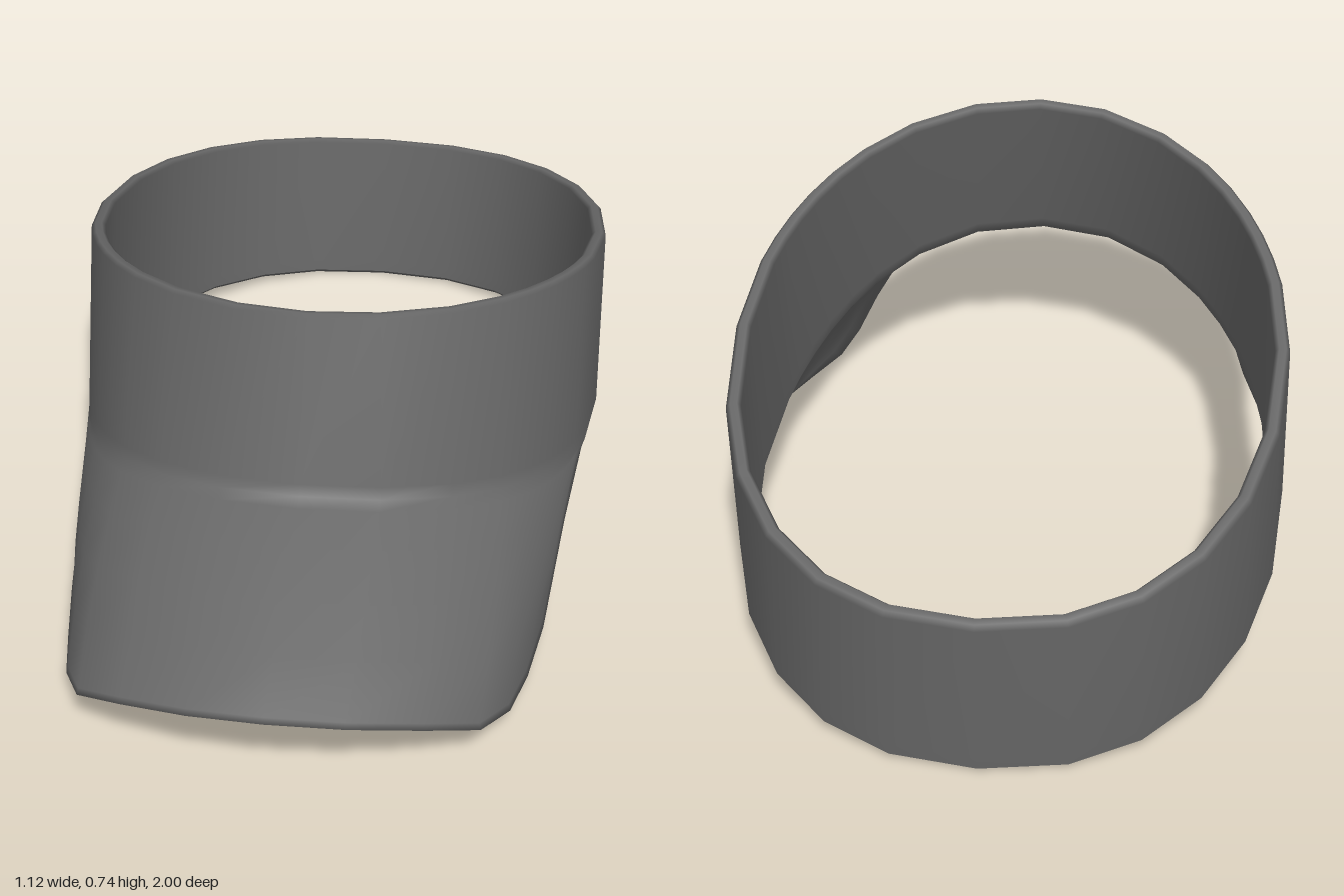
import * as THREE from 'three';

const V = (x, y, z) => new THREE.Vector3(x, y, z);
const rad = THREE.MathUtils.degToRad;
const THICK = 0.03;
const BEVEL = 0.008;

// Skin a closed row of closed cross-sections with smooth normals
function loft(sections) {
  const n = sections[0].length, m = sections.length;
  const index = [];
  for (let i = 0; i < m; i++) {
    for (let j = 0; j < n; j++) {
      const k = (i + 1) % m, l = (j + 1) % n;
      const a = i * n + j, b = k * n + j, c = k * n + l, d = i * n + l;
      index.push(a, b, c, a, c, d);
    }
  }
  const geometry = new THREE.BufferGeometry().setFromPoints(sections.flat());
  geometry.setIndex(index);
  geometry.computeVertexNormals();
  return geometry;
}

// Oval outline, a little squarer behind than in front
function oval(deg, halfWidth, halfLength, centre, frontPower) {
  const s = Math.sin(rad(deg)), c = Math.cos(rad(deg));
  const power = c > 0 ? frontPower : 0.88;
  const round = (v) => Math.sign(v) * Math.abs(v) ** power;
  return { x: halfWidth * round(s), z: centre + halfLength * round(c) };
}

// Upper rim: an oval on a plane that falls towards the back
function topRing(deg, inset = 0, drop = 0) {
  const { x, z } = oval(deg, 0.556 - inset, 0.71 - inset, -0.29, 1);
  return V(x, 0.36 + (z + 1) * 0.268 - drop, z);
}

// Lower rim: a longer oval, rising in a curve at the front
function bottomRing(deg, inset = 0, lift = 0) {
  const { x, z } = oval(deg, 0.56 - inset, 0.75 - inset, -0.22, 0.93);
  const y = z > 0 ? 0.2 + 0.26 * z + 0.18 * z * z : 0.2 + 0.206 * z;
  return V(x, y + lift, z);
}

// Half outline of the brim: root angle on the band, then the edge x, y, z
const BRIM = [
  [0, 0, 0.203, 0.995],
  [15, 0.15, 0.187, 0.972],
  [30, 0.288, 0.148, 0.912],
  [42, 0.388, 0.095, 0.837],
  [50, 0.437, 0.047, 0.72],
  [57, 0.463, 0.026, 0.59],
  [63, 0.485, 0.04, 0.45],
  [69, 0.51, 0.13, 0.2],
  [75, 0.534, 0.192, 0.01],
];

// Free lower edge: the brim's outline in front
function brimEdge([deg, x, y, z]) {
  const s = Math.sin(rad(deg));
  return {
    deg,
    lift: 0,
    upper: V(x, y + 0.023, z),
    nose: V(x + s * 0.004, y + 0.01, z + 0.005),
    under: V(x * 0.975, y, z - 0.01),
  };
}

// Free lower edge: the softened bottom of the band behind
function bandEdge(deg) {
  return {
    deg,
    lift: BEVEL,
    upper: bottomRing(deg, BEVEL),
    nose: bottomRing(deg, THICK / 2),
    under: bottomRing(deg, THICK - BEVEL),
  };
}

// Slice of the shell: edge, brim top, band outside, rim, band inside, brim underside
function shellSection({ deg, lift, upper, nose, under }) {
  const s = Math.sin(rad(deg));
  const rootTop = bottomRing(deg, 0, lift);
  const rootUnder = bottomRing(deg, THICK, lift);
  const outerTop = topRing(deg, 0, BEVEL);
  const innerTop = topRing(deg, THICK, BEVEL);
  const bulge = upper.distanceTo(rootTop);
  const along = (from, to, t) => {
    const h = bulge * t * (1 - t);
    return from.clone().lerp(to, t).add(V(s * h * 0.1, h * 0.04, 0));
  };
  // Rows close to the fold keep it crisp
  return [
    nose,
    ...[0, 0.25, 0.5, 0.75, 0.94, 1].map((t) => along(upper, rootTop, t)),
    rootTop.clone().lerp(outerTop, 0.07),
    outerTop,
    topRing(deg, BEVEL),
    topRing(deg, THICK - BEVEL),
    innerTop,
    rootUnder.clone().lerp(innerTop, 0.07),
    ...[0, 0.06, 0.25, 0.5, 0.75, 1].map((t) => along(rootUnder, under, t)),
  ];
}

export function createModel() {
  const group = new THREE.Group();
  group.name = 'sunVisor';

  // Mirror the brim outline, then carry the band round the back
  const edges = [
    ...BRIM.slice(1).reverse().map(([deg, x, y, z]) => [-deg, -x, y, z]),
    ...BRIM,
  ].map(brimEdge);
  for (let deg = 90; deg <= 270; deg += 15) edges.push(bandEdge(deg));

  // Band and brim are one continuous shell
  const shell = new THREE.Mesh(
    loft(edges.map(shellSection)),
    new THREE.MeshStandardMaterial({ color: 0x686868 }),
  );
  shell.name = 'bandAndBrim';
  group.add(shell);
  return group;
}
